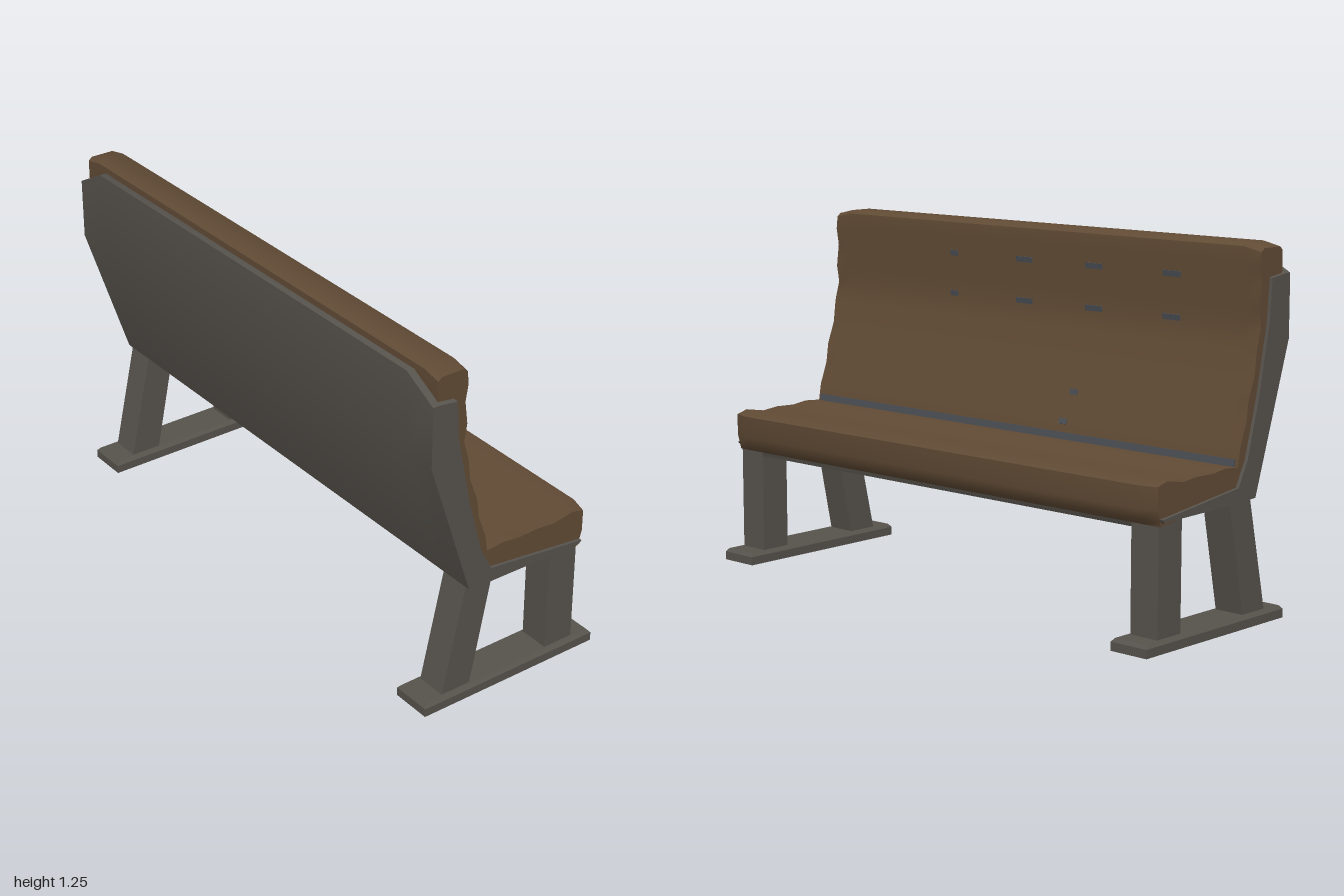
import * as THREE from 'three';
import { toCreasedNormals } from 'three/addons/utils/BufferGeometryUtils.js';

const mat = (name, color) => {
  const m = new THREE.MeshStandardMaterial({ color });
  m.name = name;
  return m;
};

// Skin between matching [z, y] outlines placed along x, with end caps
function loft(sections, crease = 0.7) {
  const pos = [];
  const first = sections[0][1].map(p => new THREE.Vector2(...p));
  const flip = THREE.ShapeUtils.isClockWise(first);
  const secs = sections.map(([x, pts]) => {
    const list = flip ? [...pts].reverse() : pts;
    return list.map(([z, y]) => [x, y, z]);
  });
  for (let s = 0; s < secs.length - 1; s++) {
    const A = secs[s], B = secs[s + 1], n = A.length;
    for (let i = 0; i < n; i++) {
      const j = (i + 1) % n;
      pos.push(...A[i], ...B[j], ...A[j], ...A[i], ...B[i], ...B[j]);
    }
  }
  [secs[0], secs[secs.length - 1]].forEach((sec, end) => {
    const contour = sec.map(p => new THREE.Vector2(p[2], p[1]));
    for (const [a, b, c] of THREE.ShapeUtils.triangulateShape(contour, [])) {
      pos.push(...sec[a], ...sec[end ? c : b], ...sec[end ? b : c]);
    }
  });
  const g = new THREE.BufferGeometry();
  g.setAttribute('position', new THREE.Float32BufferAttribute(pos, 3));
  return toCreasedNormals(g, crease);
}

export function createModel() {
  const model = new THREE.Group();
  model.name = 'bench';
  const metal = mat('grey metal', 0x57534d);
  const leather = mat('brown leather', 0x614b35);
  const worn = mat('worn grey', 0x4a4e54);

  const add = (name, geometry, material, parent = model) => {
    const m = new THREE.Mesh(geometry, material);
    m.name = name;
    parent.add(m);
    return m;
  };

  // Shell: outer back, underside and inner line; its ends are cut lower
  const shellInner = [[-0.285, 0.43], [0.1, 0.475], [0.145, 0.56], [0.2, 0.76], [0.25, 1.0]];
  const shellMid = [[0.33, 1.22], [0.355, 1.22], [0.355, 0.935], [0.19, 0.43], [0.08, 0.39],
    [-0.275, 0.39], ...shellInner, [0.26, 1.15]];
  const shellEnd = [[0.33, 1.15], [0.355, 1.15], [0.355, 0.935], [0.19, 0.43], [0.1, 0.425],
    [-0.275, 0.42], ...shellInner, [0.26, 1.14]];
  add('shell', loft([[-1, shellEnd], [-0.87, shellMid], [0.87, shellMid], [1, shellEnd]]), metal);

  // Padded cushion: wavy back face and seat in one piece
  const backFace = [[0.11, 0.54], [0.12, 0.6], [0.15, 0.68], [0.16, 0.75], [0.19, 0.83], [0.2, 0.91],
    [0.22, 0.98], [0.21, 1.04], [0.22, 1.12], [0.21, 1.18]];
  const seatTop = [[-0.28, 0.405], [-0.305, 0.425], [-0.315, 0.46], [-0.315, 0.535], [-0.25, 0.547],
    [-0.17, 0.533], [-0.1, 0.54], [-0.02, 0.537], [0.04, 0.545]];
  const cushionMid = [...seatTop, ...backFace, [0.215, 1.24], [0.23, 1.252], [0.315, 1.252],
    [0.328, 1.24], [0.328, 1.0], [0.23, 0.72], [0.15, 0.47], [0.08, 0.45]];
  const cushionEnd = cushionMid.map(([z, y]) => [z < -0.3 ? z + 0.02 : z, y > 1.2 ? y - 0.015 : y]);
  add('cushion', loft([[-0.988, cushionEnd], [-0.92, cushionMid], [0.92, cushionMid],
    [0.988, cushionEnd]]), leather);

  // Seam where seat meets back
  const seam = add('seam', new THREE.BoxGeometry(1.95, 0.028, 0.008), worn);
  seam.position.set(0, 0.55, 0.109);
  seam.rotation.x = 0.17;

  // Worn patches lying on the back face
  const patches = [[0.38, 1.13], [0.38, 0.985], [0.04, 1.13], [0.04, 0.985], [-0.28, 1.13],
    [-0.28, 0.985], [-0.62, 1.13], [-0.62, 0.985], [-0.25, 0.7], [-0.23, 0.6]];
  patches.forEach(([x, y], i) => {
    const k = backFace.findIndex(p => p[1] > y);
    const [z0, y0] = backFace[k - 1], [z1, y1] = backFace[k];
    const slope = (z1 - z0) / (y1 - y0);
    const w = i < 2 || i > 7 ? 0.035 : 0.075;
    const p = add('wornPatch', new THREE.BoxGeometry(w, 0.02, 0.006), worn);
    p.position.set(x, y, z0 + slope * (y - y0));
    p.rotation.x = Math.atan(slope);
  });

  // Foot rail: hollow frame below a bevelled top plate
  const rect = (T, w, d) => {
    const s = new T();
    s.moveTo(-w, -d).lineTo(w, -d).lineTo(w, d).lineTo(-w, d).closePath();
    return s;
  };
  const outline = rect(THREE.Shape, 0.073, 0.355);
  outline.holes.push(rect(THREE.Path, 0.048, 0.325));
  const frame = new THREE.ExtrudeGeometry(outline, { depth: 0.03, bevelEnabled: false });
  frame.rotateX(-Math.PI / 2);
  const plate = new THREE.BoxGeometry(0.146, 0.012, 0.71);
  const pp = plate.attributes.position;
  for (let i = 0; i < pp.count; i++) {
    if (pp.getY(i) > 0) {
      pp.setX(i, pp.getX(i) * 0.86);
      pp.setZ(i, pp.getZ(i) * 0.972);
    }
  }
  plate.translate(0, 0.036, 0);
  plate.computeVertexNormals();

  // Two supports, each with a slanted and an upright leg
  const slanted = [[0.275, 0.035], [0.16, 0.035], [0.08, 0.425], [0.187, 0.43]];
  const upright = [[-0.165, 0.035], [-0.28, 0.035], [-0.28, 0.425], [-0.165, 0.425]];
  for (const side of [-1, 1]) {
    const support = new THREE.Group();
    support.name = side > 0 ? 'leftSupport' : 'rightSupport';
    support.position.x = side * 0.925;
    model.add(support);
    add('footFrame', frame, metal, support);
    add('footPlate', plate, metal, support);
    add('slantedLeg', loft([[-0.055, slanted], [0.055, slanted]]), metal, support);
    add('uprightLeg', loft([[-0.055, upright], [0.055, upright]]), metal, support);
  }
  return model;
}
